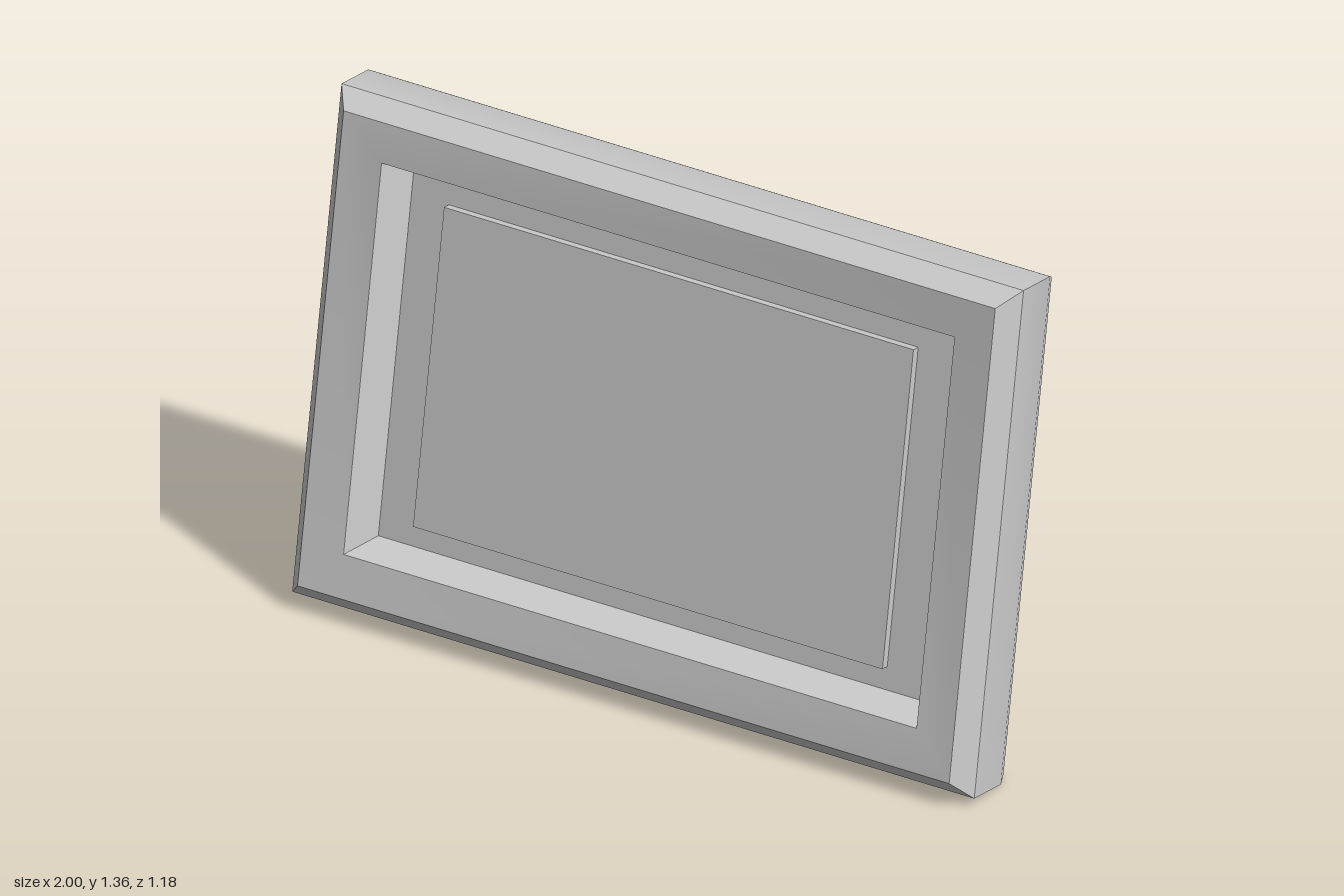
import * as THREE from 'three';
import { toCreasedNormals } from 'three/addons/utils/BufferGeometryUtils.js';

const grey = new THREE.MeshStandardMaterial({ color: 0xcccccc });

// Solid made of concentric rectangles: each ring is [halfWidth, halfHeight, z]
function ringSolid(rings) {
  const pos = [], index = [];
  for (const [w, h, z] of rings) pos.push(-w, -h, z, w, -h, z, w, h, z, -w, h, z);
  for (let r = 0; r < rings.length - 1; r++) {
    for (let i = 0; i < 4; i++) {
      const j = (i + 1) % 4, a = r * 4, b = a + 4;
      index.push(b + i, b + j, a + j, b + i, a + j, a + i);
    }
  }
  const e = (rings.length - 1) * 4;
  index.push(0, 1, 2, 0, 2, 3, e, e + 2, e + 1, e, e + 3, e + 2);
  const geo = new THREE.BufferGeometry();
  geo.setAttribute('position', new THREE.Float32BufferAttribute(pos, 3));
  geo.setIndex(index);
  return toCreasedNormals(geo, 0.52);
}

function addMesh(parent, geo, name) {
  const mesh = new THREE.Mesh(geo, grey);
  mesh.name = name;
  parent.add(mesh);
  return mesh;
}

export function createModel() {
  const model = new THREE.Group();
  model.name = 'pictureFrame';

  // Frame leans back and is turned slightly
  const tilted = new THREE.Group();
  tilted.name = 'tiltedFrame';
  tilted.rotation.set(-0.1745, -0.0873, 0, 'YXZ');
  tilted.position.x = 0.02;
  model.add(tilted);

  // Border and back, from the recessed floor round to the back panel
  const border = addMesh(tilted, ringSolid([
    [0.788, 0.488, 0.408], // recess floor
    [0.83, 0.523, 0.5],    // opening
    [0.944, 0.635, 0.513], // front edge
    [0.988, 0.679, 0.457], // outer side
    [0.988, 0.679, 0.328],
    [0.975, 0.665, 0.296], // back edge
    [0.8, 0.492, 0.245],   // back panel
  ]), 'frameBorder');
  border.position.y = 0.623;

  // Picture sheet lying just in front of the recess floor
  const picture = addMesh(tilted, new THREE.BoxGeometry(1.36, 0.854, 0.024), 'picture');
  picture.position.set(0, 0.623, 0.419);

  // Six-sided stand plate, sloping down to the ground behind
  const cosZ = 0.623;
  const outline = [[0.19, -0.59], [0.49, -0.53], [0.487, -0.2], [0.24, 0.098], [-0.18, 0.01], [-0.11, -0.31]]
    .map(([x, z]) => new THREE.Vector2(x, (z + 0.59) / cosZ));
  const stand = addMesh(model, new THREE.ExtrudeGeometry(new THREE.Shape(outline), {
    depth: 0.07, bevelEnabled: false,
  }), 'standLeg');
  stand.rotation.x = Math.asin(cosZ);
  stand.position.set(0, 0.06, -0.59);

  return model;
}
